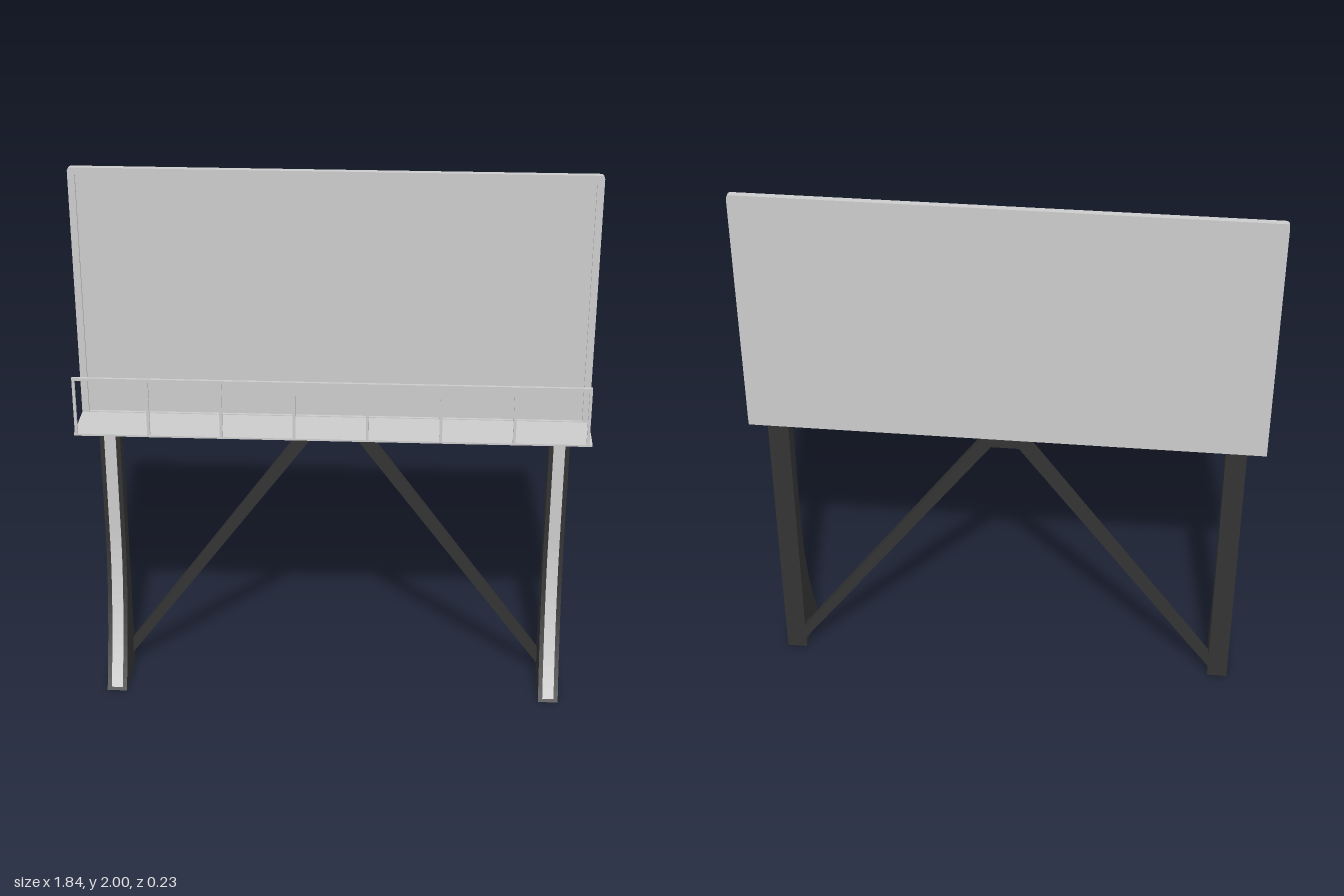
import * as THREE from 'three';

const grey = new THREE.MeshStandardMaterial({ color: 0xcccccc });
const dark = new THREE.MeshStandardMaterial({ color: 0x333333 });

function add(parent, name, geometry, material, x = 0, y = 0, z = 0) {
  const mesh = new THREE.Mesh(geometry, material);
  mesh.name = name;
  mesh.position.set(x, y, z);
  parent.add(mesh);
  return mesh;
}

const extrude = (shape, depth) =>
  new THREE.ExtrudeGeometry(shape, { depth, bevelEnabled: false, curveSegments: 16 });

const polygon = (points) => new THREE.Shape(points.map(([x, y]) => new THREE.Vector2(x, y)));

// Upright panel outline with softened top corners
function panelShape(w, bottom, top, r) {
  const s = new THREE.Shape();
  s.moveTo(-w, bottom);
  s.lineTo(w, bottom);
  s.lineTo(w, top - r);
  s.quadraticCurveTo(w, top, w - r, top);
  s.lineTo(-w + r, top);
  s.quadraticCurveTo(-w, top, -w, top - r);
  s.closePath();
  return s;
}

// Side profile of a leg: straight back, front flaring out towards the foot.
// Shape x runs along z; the extrusion is turned so its depth runs along x.
function legGeometry(width, y0, y1, offset, back) {
  const s = new THREE.Shape();
  s.moveTo(back, y0);
  s.lineTo(0.114 + offset - y0 * 0.55, y0);
  s.quadraticCurveTo(-0.04 + offset, 0.32, -0.04 + offset, 0.6);
  s.lineTo(-0.04 + offset, y1);
  s.lineTo(back, y1);
  s.closePath();
  return extrude(s, width).translate(0, 0, -width / 2).rotateY(-Math.PI / 2);
}

export function createModel() {
  const model = new THREE.Group();
  model.name = 'billboard';

  // Display board with a raised lip round the sides and top
  const board = new THREE.Group();
  board.name = 'board';
  model.add(board);
  add(board, 'boardPanel', extrude(panelShape(0.92, 1.07, 2, 0.015), 0.012), grey, 0, 0, -0.114);
  const lip = panelShape(0.92, 1.07, 2, 0.015);
  lip.holes.push(polygon([[-0.895, 1.075], [-0.895, 1.975], [0.895, 1.975], [0.895, 1.075]]));
  add(board, 'boardFrame', extrude(lip, 0.01), grey, 0, 0, -0.102);

  // Walkway in front of the board, with its railing
  const walkway = new THREE.Group();
  walkway.name = 'walkway';
  model.add(walkway);
  add(walkway, 'walkwayFloor', new THREE.BoxGeometry(1.84, 0.007, 0.204), grey, 0, 1.0685, -0.01);
  add(walkway, 'topRail', new THREE.BoxGeometry(1.825, 0.01, 0.01), grey, -0.004, 1.285, 0.087);
  for (let i = 0; i < 8; i++) {
    add(walkway, 'railPost', new THREE.BoxGeometry(0.01, 0.215, 0.01), grey, -0.911 + i * 0.2592, 1.178, 0.087);
  }

  // Flared legs with a light strip down the front, and the brace arms
  const braceArm = polygon([[0.8, 0.018], [0.8, 0.075], [0.085, 1.063], [0, 1.063], [0, 1.032], [0.05, 1.032]]);
  const armGeometry = extrude(braceArm, 0.03);
  for (const side of [-1, 1]) {
    const leg = new THREE.Group();
    leg.name = side > 0 ? 'leftLeg' : 'rightLeg';
    leg.position.x = side * 0.815;
    model.add(leg);
    add(leg, 'legBeam', legGeometry(0.074, 0, 1.065, 0, -0.11), dark);
    add(leg, 'legStrip', legGeometry(0.042, 0.012, 1.055, 0.002, -0.06), grey);

    // The arm is turned half round for the other side, keeping its depth in place
    const arm = add(model, side > 0 ? 'leftBrace' : 'rightBrace', armGeometry, dark, 0, 0, side > 0 ? -0.114 : -0.084);
    if (side < 0) arm.rotation.y = Math.PI;
  }
  return model;
}
